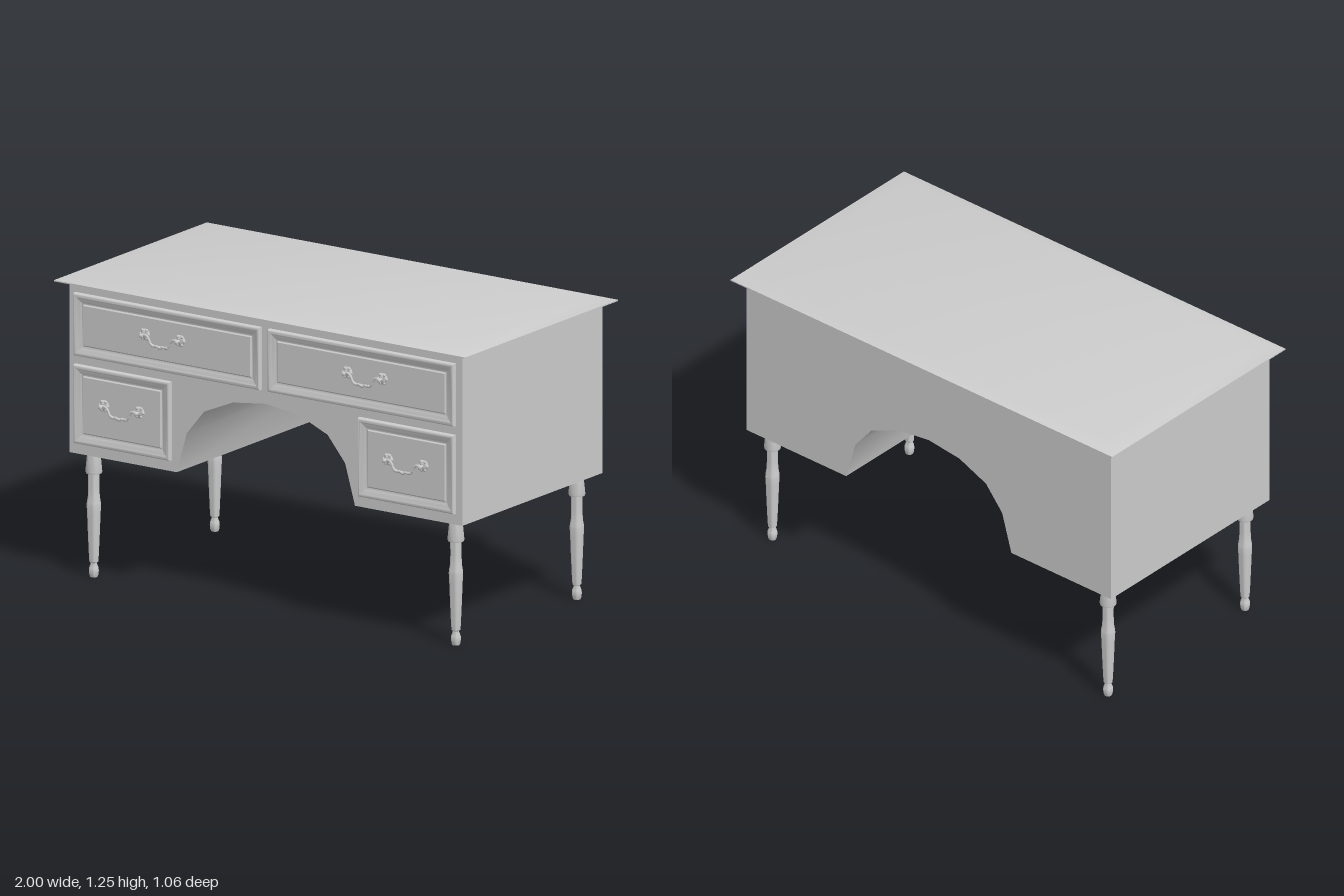
import * as THREE from 'three';
import { toCreasedNormals } from 'three/addons/utils/BufferGeometryUtils.js';

const mat = new THREE.MeshStandardMaterial({ color: 0xcccccc });

function add(parent, name, geometry, x = 0, y = 0, z = 0) {
  const m = new THREE.Mesh(geometry, mat);
  m.name = name;
  m.position.set(x, y, z);
  parent.add(m);
  return m;
}

// Closed solid from nested rectangles [halfWidth, halfHeight, z], back to front
function rectLoft(rings, crease) {
  const pos = [];
  const corner = ([w, h, z], k) => [[-w, -h, z], [w, -h, z], [w, h, z], [-w, h, z]][k % 4];
  const quad = (a, b, c, d) => pos.push(...a, ...b, ...c, ...a, ...c, ...d);
  for (let i = 0; i < rings.length - 1; i++) {
    const a = rings[i], b = rings[i + 1];
    for (let k = 0; k < 4; k++) quad(corner(a, k), corner(a, k + 1), corner(b, k + 1), corner(b, k));
  }
  const first = rings[0], last = rings[rings.length - 1];
  quad(...[0, 1, 2, 3].map(k => corner(last, k)));
  quad(...[3, 2, 1, 0].map(k => corner(first, k)));
  const g = new THREE.BufferGeometry();
  g.setAttribute('position', new THREE.Float32BufferAttribute(pos, 3));
  return toCreasedNormals(g, crease);
}

const lathe = (points, sides) =>
  toCreasedNormals(new THREE.LatheGeometry(points.map(p => new THREE.Vector2(...p)), sides), 0.8);

// Case with an arched knee hole running front to back
function caseGeometry() {
  const arch = [[0.433, 0.515], [0.385, 0.683], [0.3, 0.786], [0.16, 0.846], [0, 0.866]];
  const left = arch.slice(0, -1).map(([x, y]) => [-x, y]);
  const outline = [[-0.955, 0.515], ...left, ...arch.reverse(), [0.955, 0.515], [0.955, 1.223], [-0.955, 1.223]];
  const shape = new THREE.Shape(outline.map(p => new THREE.Vector2(...p)));
  const g = new THREE.ExtrudeGeometry(shape, { depth: 0.965, bevelEnabled: false });
  return toCreasedNormals(g, 0.6);
}

// Drawer front: rounded rim, sunken moulding, raised field
function drawerGeometry(w, h) {
  const profile = [[0, 0], [0, 0.013], [0.002, 0.017], [0.006, 0.02], [0.014, 0.02], [0.019, 0.016],
    [0.032, 0.013], [0.038, 0.008], [0.043, 0.008], [0.048, 0.013]];
  return rectLoft(profile.map(([inset, z]) => [w / 2 - inset, h / 2 - inset, z]), 0.7);
}

// Swan-neck pull hanging between two rosettes
function makeHandle() {
  const handle = new THREE.Group();
  handle.name = 'handle';
  const knob = lathe([[0, 0.036], [0.006, 0.035], [0.009, 0.031], [0.009, 0.025], [0.006, 0.022],
    [0.006, 0.01], [0.012, 0.008], [0.022, 0.004], [0.024, 0]].reverse(), 14);
  knob.rotateX(Math.PI / 2);
  for (const s of [-1, 1]) {
    add(handle, 'rosette', knob, s * 0.086, 0, 0);
    for (let i = 0; i < 6; i++) {
      const a = i * Math.PI / 3;
      add(handle, 'rosettePetal', new THREE.SphereGeometry(0.007, 8, 6),
        s * 0.086 + 0.019 * Math.cos(a), 0.019 * Math.sin(a), 0.003);
    }
    const collar = add(handle, 'bailCollar', new THREE.SphereGeometry(0.007, 10, 8), s * 0.034, -0.034, 0.023);
    collar.scale.set(1.5, 0.9, 1);
  }
  const path = [[-0.086, 0], [-0.066, 0.003], [-0.054, -0.008], [-0.045, -0.026], [-0.03, -0.036],
    [-0.014, -0.034], [0, -0.038]];
  const full = [...path, ...path.slice(0, -1).reverse().map(([x, y]) => [-x, y])];
  const curve = new THREE.CatmullRomCurve3(full.map(([x, y]) => new THREE.Vector3(x, y, 0.023)));
  add(handle, 'bail', new THREE.TubeGeometry(curve, 40, 0.0055, 8));
  const bead = add(handle, 'bailBead', new THREE.SphereGeometry(0.008, 10, 8), 0, -0.038, 0.023);
  bead.scale.set(1.6, 0.9, 1);
  return handle;
}

export function createModel() {
  const desk = new THREE.Group();
  desk.name = 'desk';

  add(desk, 'case', caseGeometry(), 0, 0, -0.485);

  // Table top with a shallow bevelled edge
  const top = rectLoft([[1, 0.527, 1.221], [1, 0.527, 1.226], [0.925, 0.47, 1.245]], 0.5);
  top.rotateX(-Math.PI / 2);
  add(desk, 'tableTop', top, 0, 0, -0.003);

  // Drawers: two wide above, two narrow beside the knee hole
  const drawers = [
    { name: 'upperDrawer', x: 0.472, y: 1.051, w: 0.906, h: 0.258, hx: 0.492, hy: 1.064 },
    { name: 'lowerDrawer', x: 0.691, y: 0.723, w: 0.468, h: 0.325, hx: 0.69, hy: 0.737 },
  ];
  for (const d of drawers) {
    for (const s of [-1, 1]) {
      add(desk, d.name, drawerGeometry(d.w, d.h), s * d.x, d.y, 0.48);
      const handle = makeHandle();
      handle.position.set(s * d.hx, d.hy, 0.493);
      desk.add(handle);
    }
  }

  // Turned legs
  const leg = lathe([[0, 0], [0.015, 0], [0.018, 0.008], [0.02, 0.025], [0.019, 0.038], [0.013, 0.053],
    [0.013, 0.058], [0.018, 0.062], [0.02, 0.09], [0.024, 0.18], [0.027, 0.26], [0.029, 0.295],
    [0.028, 0.308], [0.024, 0.33], [0.0225, 0.37], [0.023, 0.428], [0.032, 0.428], [0.034, 0.436],
    [0.026, 0.516]], 18);
  for (const x of [-0.88, 0.88])
    for (const z of [0.418, -0.415]) add(desk, z > 0 ? 'frontLeg' : 'backLeg', leg, x, 0, z);

  return desk;
}
